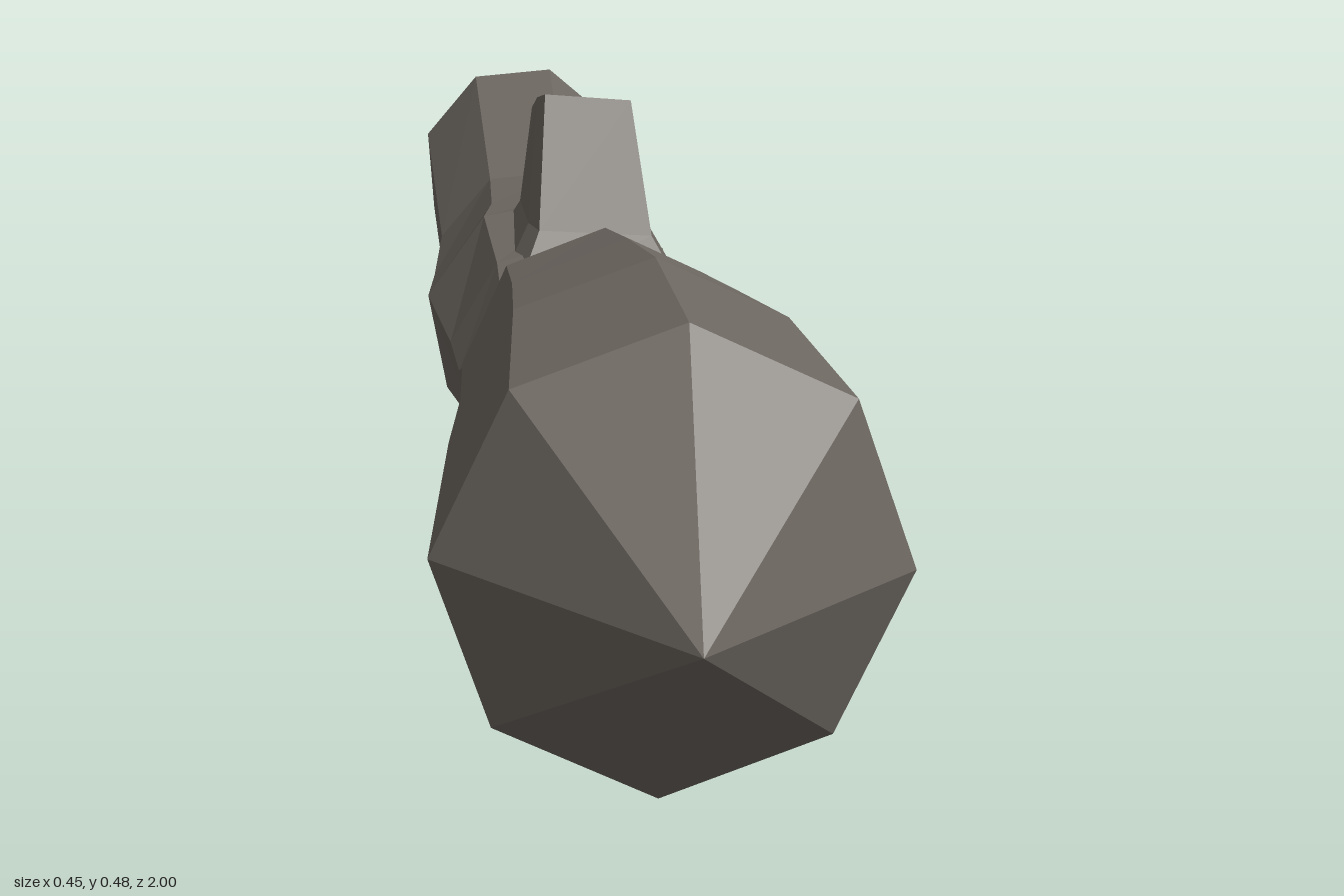
import * as THREE from 'three';

const wood = new THREE.MeshStandardMaterial({ color: 0x6e6861, flatShading: true, roughness: 1 });

// Skin a list of equal-length rings (counter-clockwise seen from the first ring's side)
function loft(rings, name) {
  const pos = [];
  const tri = (a, b, c) => pos.push(...a, ...b, ...c);
  for (let i = 0; i < rings.length - 1; i++) {
    const f = rings[i], b = rings[i + 1], n = f.length;
    for (let j = 0; j < n; j++) {
      const k = (j + 1) % n;
      tri(f[j], b[j], f[k]);
      tri(f[k], b[j], b[k]);
    }
  }
  const geo = new THREE.BufferGeometry();
  geo.setAttribute('position', new THREE.Float32BufferAttribute(pos, 3));
  geo.computeVertexNormals();
  const mesh = new THREE.Mesh(geo, wood);
  mesh.name = name;
  return mesh;
}

// Octagonal trunk ring that twists slightly towards the thin end
function trunkRing([z, left, right, top, bottom, lean]) {
  const twist = -3 - 15 * THREE.MathUtils.clamp(-z / 0.5, 0, 1);
  const cx = (left + right) / 2, cy = (top + bottom) / 2;
  const ring = [];
  for (let j = 0; j < 8; j++) {
    const a = THREE.MathUtils.degToRad(j * 45 + twist);
    // flat-topped rings need a larger radius to reach the same height
    const s = 1 + 0.05 * Math.min(1, Math.abs(twist + 3) / 15);
    ring.push([
      cx + Math.cos(a) * s * (right - left) / 2,
      cy + Math.sin(a) * s * (top - bottom) / 2,
      z + lean * Math.sin(a),
    ]);
  }
  return ring;
}

export function createModel() {
  const model = new THREE.Group();
  model.name = 'woodenLog';

  // Trunk: z, left x, right x, top y, bottom y, lean of the ring
  const sections = [
    [0.768, -0.227, 0.227, 0.466, 0.0, 0.012],
    [0.5, -0.19, 0.19, 0.465, 0.072, 0.02],
    [0.3, -0.165, 0.162, 0.43, 0.087, -0.01],
    [0.11, -0.15, 0.143, 0.395, 0.1, -0.02],
    [-0.03, -0.14, 0.128, 0.335, 0.072, -0.02],
    [-0.065, -0.142, 0.124, 0.312, 0.068, 0.0],
    [-0.14, -0.146, 0.128, 0.33, 0.064, 0.0],
    [-0.3, -0.161, 0.13, 0.34, 0.056, 0.0],
    [-0.42, -0.147, 0.13, 0.321, 0.05, 0.0],
    [-0.645, -0.125, 0.105, 0.296, 0.065, 0.0],
    [-0.993, -0.121, 0.12, 0.358, 0.111, 0.006],
  ];
  const point = (x, y, z) => Array.from({ length: 8 }, () => [x, y, z]);
  model.add(loft([
    point(0, 0.22, 1), // pointed end
    ...sections.map(trunkRing),
    point(0, 0.235, -0.993), // cut end
  ], 'trunk'));

  // Branch stub: five-sided, leaning back, flaring into the trunk
  const outline = [[0.052, 0.048], [0.052, -0.048], [-0.052, -0.048], [-0.052, 0.025], [-0.045, 0.048]];
  const stubRing = (y, z, wide, deep, slope) => outline.map(([x, d]) => [
    0.012 + x * wide, y + slope * d - x * 0.09, z + d * deep,
  ]);
  model.add(loft([
    stubRing(0.457, -0.267, 0, 0, 0),
    stubRing(0.457, -0.267, 1, 1, 0.36),
    stubRing(0.335, -0.219, 1.3, 1.6, 0),
    stubRing(0.27, -0.205, 2.0, 2.4, 0),
  ], 'branchStub'));

  return model;
}
